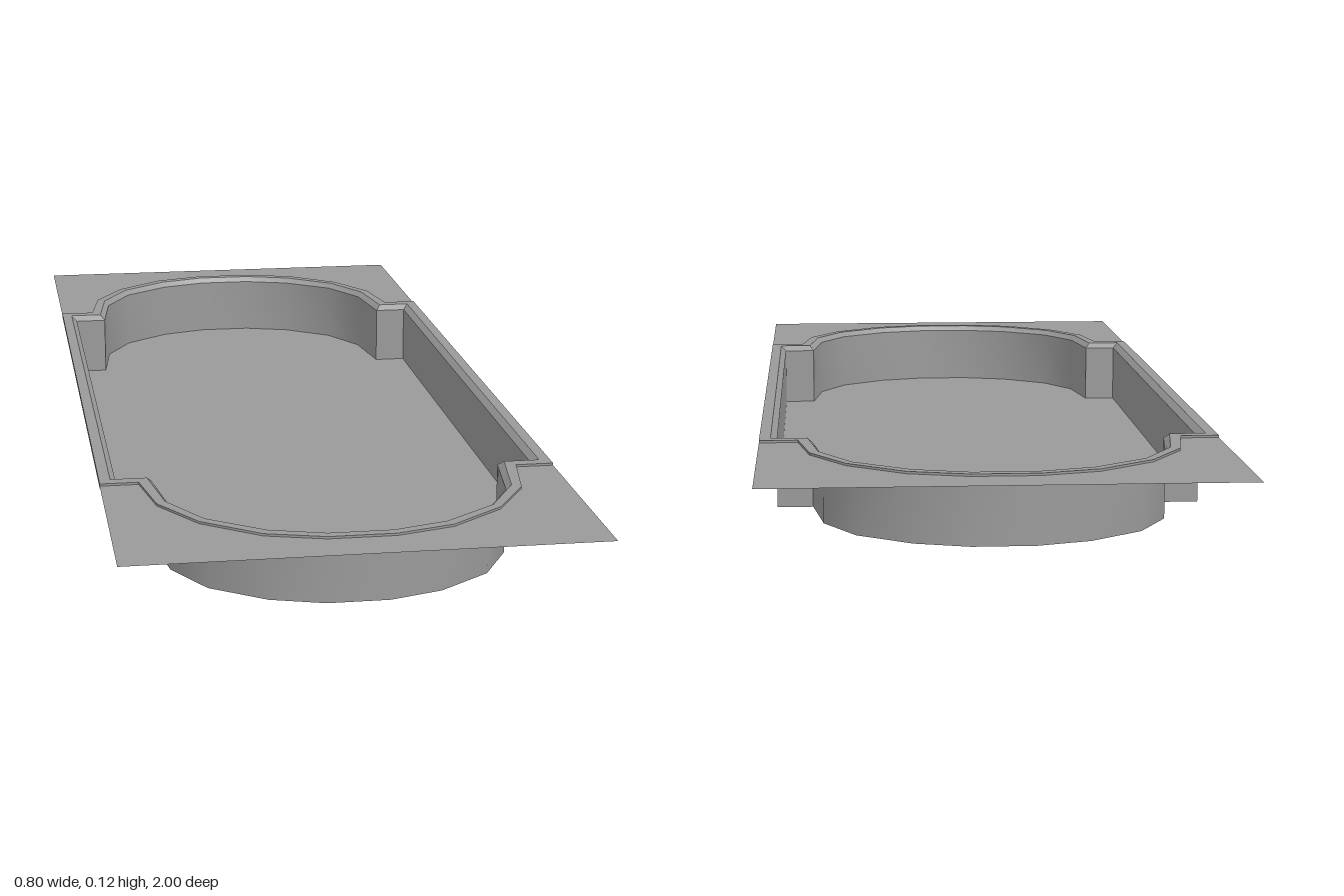
import * as THREE from 'three';
import { toCreasedNormals } from 'three/addons/utils/BufferGeometryUtils.js';

// One quarter of the outline [x, z], from the long side to the rounded end
const INNER = [[0.37, 0.57], [0.308, 0.57], [0.29, 0.705], [0.237, 0.8], [0.145, 0.867], [0.053, 0.896]];
const OUTER = [[0.4, 0.605], [0.333, 0.605], [0.313, 0.722], [0.253, 0.82], [0.157, 0.894], [0.057, 0.923]];
const RIM_TOP = 0.125, RIM_BOTTOM = 0.117, WALL_TOP = 0.115, GROUND = 0.121;

const material = new THREE.MeshStandardMaterial({ color: 0x9a9a9a, side: THREE.DoubleSide });

// Half outline (one end), running from +x to -x
const half = (q) => [...q, ...q.slice().reverse().map(([x, z]) => [-x, z])];
// Full closed outline
const full = (q) => [...half(q), ...half(q).map(([x, z]) => [-x, -z])];
const mix = (t) => INNER.map(([x, z], i) => [x + (OUTER[i][0] - x) * t, z + (OUTER[i][1] - z) * t]);

// Skin a series of closed loops, each { outline, y }
function skin(loops) {
  const n = loops[0].outline.length;
  const positions = [], index = [];
  loops.forEach(({ outline, y }) => outline.forEach(([x, z]) => positions.push(x, y, z)));
  for (let k = 0; k < loops.length - 1; k++) {
    for (let i = 0; i < n; i++) {
      const a = k * n + i, b = k * n + (i + 1) % n;
      index.push(a, a + n, b, b, a + n, b + n);
    }
  }
  const g = new THREE.BufferGeometry();
  g.setAttribute('position', new THREE.Float32BufferAttribute(positions, 3));
  g.setIndex(index);
  return toCreasedNormals(g, 0.6);
}

// Horizontal sheet facing up
function sheet(points, y) {
  const shape = new THREE.Shape(points.map(([x, z]) => new THREE.Vector2(x, -z)));
  return new THREE.ShapeGeometry(shape).rotateX(-Math.PI / 2).translate(0, y, 0);
}

export function createModel() {
  const model = new THREE.Group();
  model.name = 'poolBasin';
  const add = (name, geometry) => {
    const mesh = new THREE.Mesh(geometry, material);
    mesh.name = name;
    model.add(mesh);
  };

  const inner = full(INNER), middle = full(mix(0.35)), outer = full(OUTER);

  // Basin
  add('basinFloor', sheet(inner, 0));
  add('basinWall', skin([{ outline: inner, y: 0 }, { outline: inner, y: WALL_TOP }]));

  // Rim: bevelled inside edge, flat top, outer edge and underside
  add('rim', skin([
    { outline: inner, y: WALL_TOP },
    { outline: middle, y: RIM_TOP },
    { outline: outer, y: RIM_TOP },
    { outline: outer, y: RIM_BOTTOM },
    { outline: inner, y: WALL_TOP },
  ]));

  // Flat ground sheets filling the corners around each rounded end
  const ground = [...half(OUTER), [-0.4, 1], [0.4, 1]];
  add('frontGround', sheet(ground, GROUND));
  add('backGround', sheet(ground.map(([x, z]) => [-x, -z]), GROUND));

  return model;
}
